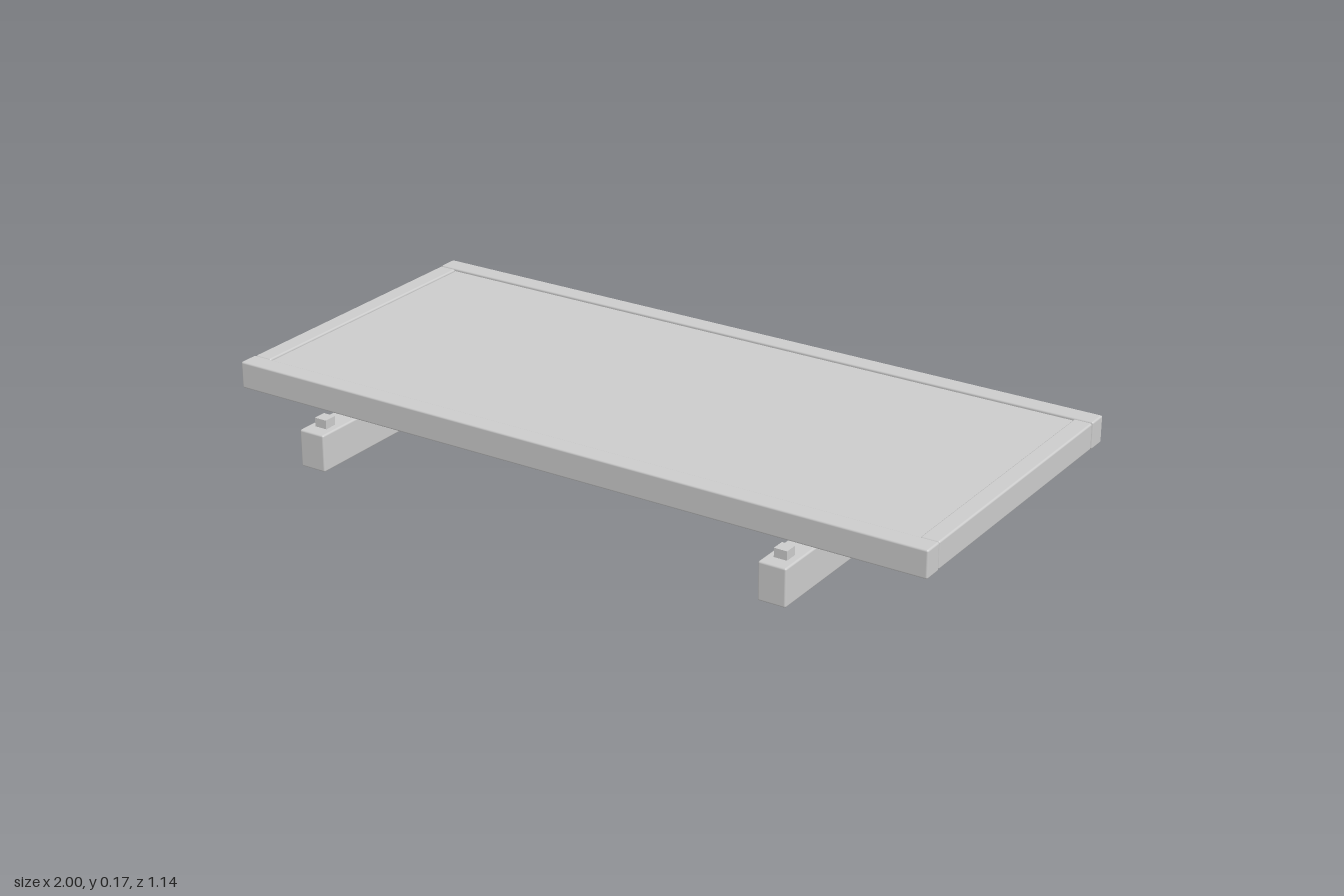
import * as THREE from 'three';
import { RoundedBoxGeometry } from 'three/addons/geometries/RoundedBoxGeometry.js';

const material = new THREE.MeshStandardMaterial({ color: 0xcccccc });

export function createModel() {
  const model = new THREE.Group();

  // Box with slightly softened edges (bevel 0 gives a sharp box)
  function addBox(name, size, position, bevel = 0) {
    const geometry = bevel
      ? new RoundedBoxGeometry(...size, 2, bevel)
      : new THREE.BoxGeometry(...size);
    const mesh = new THREE.Mesh(geometry, material);
    mesh.name = name;
    mesh.position.set(...position);
    model.add(mesh);
  }

  // Thin panel, set just below the top of the frame
  addBox('panelSheet', [1.92, 0.015, 0.82], [0, 0.16, 0]);

  // Junction box under the panel
  addBox('junctionBox', [0.24, 0.03, 0.125], [0, 0.138, -0.11]);

  for (const side of [1, -1]) {
    const end = side > 0 ? 'left' : 'right';

    // Frame
    addBox(side > 0 ? 'frontFrameRail' : 'backFrameRail',
      [2, 0.073, 0.054], [0, 0.1385, side * 0.423], 0.005);
    addBox(end + 'FrameRail', [0.05, 0.071, 0.788], [side * 0.974, 0.1385, 0], 0.005);

    // Mounting beams
    addBox(end + 'MountingBeam', [0.075, 0.1, 1.143], [side * 0.67, 0.05, 0], 0.005);

    // Clamps on the beam ends
    addBox(end + 'FrontClamp', [0.035, 0.025, 0.035], [side * 0.67, 0.111, 0.517]);
    addBox(end + 'BackClamp', [0.035, 0.025, 0.035], [side * 0.67, 0.111, -0.53]);
  }
  return model;
}
